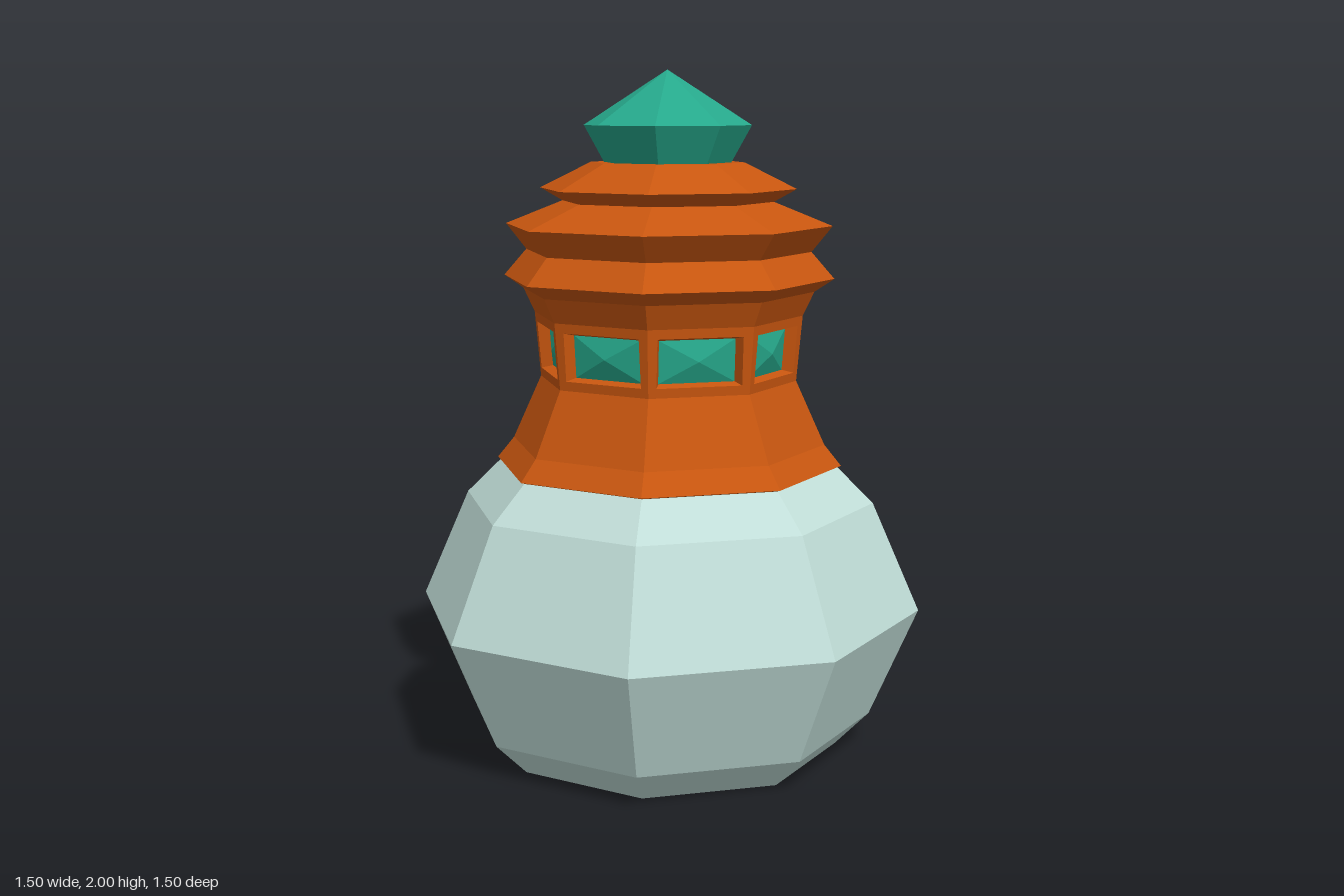
import * as THREE from 'three';

const SIDES = 8;
const HALF = Math.PI / SIDES;

function material(name, color) {
  const m = new THREE.MeshStandardMaterial({ color, flatShading: true });
  m.name = name;
  return m;
}

// Eight-sided turned part from [radius, height] points, listed bottom to top
function turned(name, profile, mat) {
  const points = profile.map(([r, y]) => new THREE.Vector2(r, y));
  const geometry = new THREE.LatheGeometry(points, SIDES).toNonIndexed();
  geometry.computeVertexNormals();
  const mesh = new THREE.Mesh(geometry, mat);
  mesh.name = name;
  return mesh;
}

// Strips of quads joining successive four-cornered loops
function loops(name, rings, mat) {
  const pos = [];
  for (let k = 0; k < rings.length - 1; k++) {
    for (let i = 0; i < 4; i++) {
      const j = (i + 1) % 4;
      const a = rings[k][i], b = rings[k][j], c = rings[k + 1][j], d = rings[k + 1][i];
      pos.push(...a, ...b, ...c, ...a, ...c, ...d);
    }
  }
  const geometry = new THREE.BufferGeometry();
  geometry.setAttribute('position', new THREE.Float32BufferAttribute(pos, 3));
  geometry.computeVertexNormals();
  const mesh = new THREE.Mesh(geometry, mat);
  mesh.name = name;
  return mesh;
}

export function createModel() {
  const pale = material('paleGlaze', 0xc1ded8);
  const orange = material('burntOrange', 0xc8560f);
  const green = material('emeraldGreen', 0x26a88b);

  const model = new THREE.Group();
  model.name = 'jar';

  // Faceted body, collar, stepped roof and finial
  model.add(
    turned('body', [[0, 0], [0.51, 0], [0.61, 0.1], [0.75, 0.425], [0.61, 0.746], [0.505, 0.85], [0, 0.85]], pale),
    turned('collar', [[0.49, 0.847], [0.515, 0.855], [0.465, 0.917], [0.38, 1.105]], orange),
    turned('steppedRoof', [
      [0.397, 1.297], [0.43, 1.367], [0.487, 1.405], [0.42, 1.482], [0.48, 1.557],
      [0.31, 1.625], [0.376, 1.662], [0.225, 1.737], [0, 1.737],
    ], orange),
    turned('finial', [[0, 1.735], [0.185, 1.735], [0.245, 1.843], [0, 2]], green),
  );

  // Window band: each wall has a recessed opening with a pyramid-shaped pane
  const y0 = 1.105, y1 = 1.297, r0 = 0.38, r1 = 0.397;
  const radiusAt = (y) => r0 + (r1 - r0) * (y - y0) / (y1 - y0);
  const point = (x, y, depth) => [x, y, radiusAt(y) * Math.cos(HALF) - depth];
  const rect = (w, low, high, depth) => [
    point(-w, low, depth), point(w, low, depth), point(w, high, depth), point(-w, high, depth),
  ];
  const w0 = r0 * Math.sin(HALF), w1 = r1 * Math.sin(HALF);
  const wallEdge = [point(-w0, y0, 0), point(w0, y0, 0), point(w1, y1, 0), point(-w1, y1, 0)];
  const opening = rect(0.123, 1.132, 1.27, 0);
  const paneEdge = rect(0.11, 1.14, 1.262, 0.033);
  const peak = Array(4).fill(point(0, 1.201, 0.012));

  for (let i = 0; i < SIDES; i++) {
    const side = new THREE.Group();
    side.name = 'windowWall' + (i + 1);
    side.add(
      loops('windowFrame', [wallEdge, opening, paneEdge], orange),
      loops('windowPane', [paneEdge, peak], green),
    );
    side.rotation.y = HALF * (2 * i + 1);
    model.add(side);
  }
  return model;
}
